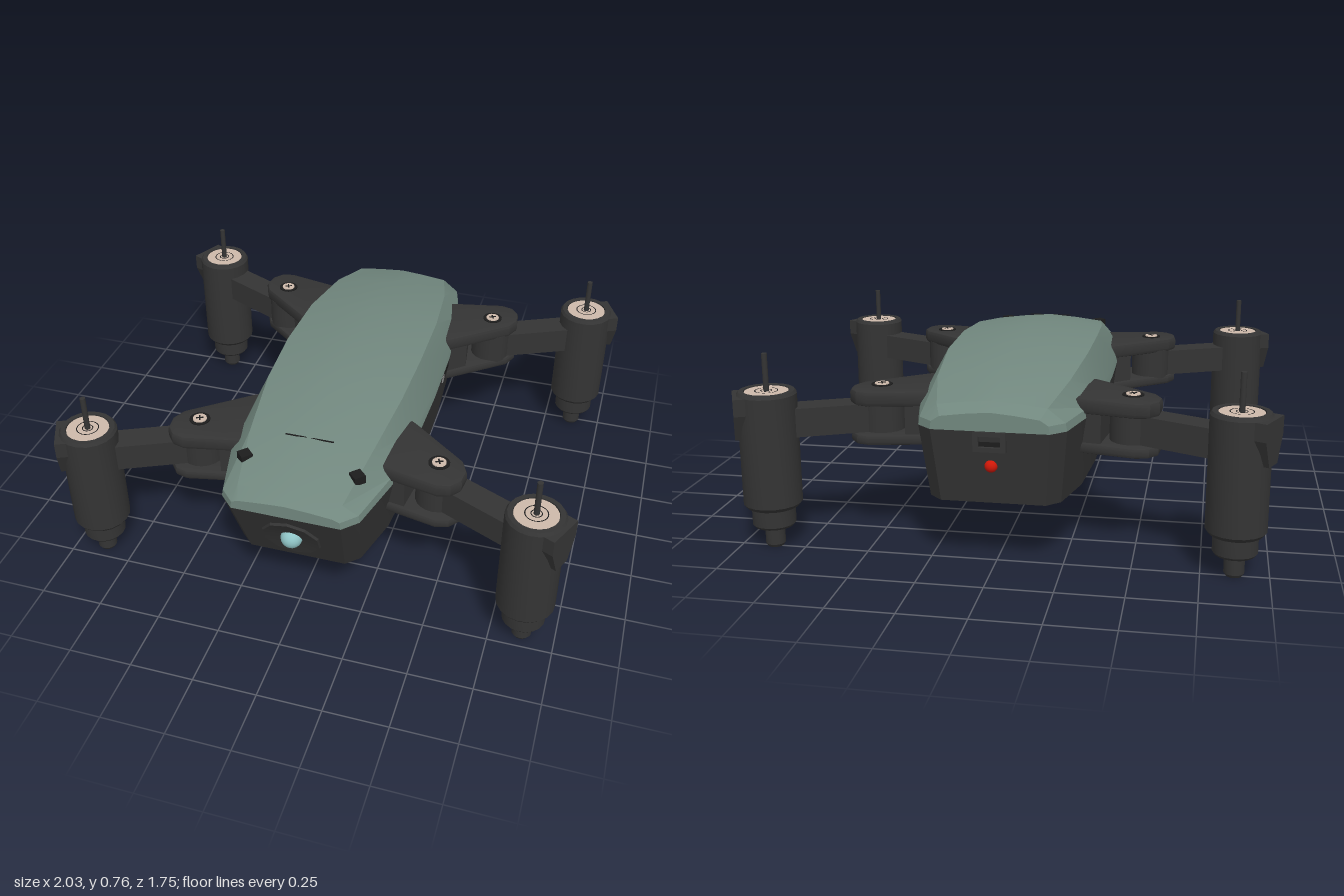
import * as THREE from 'three';
import { toCreasedNormals } from 'three/addons/utils/BufferGeometryUtils.js';

const paint = (color) => new THREE.MeshStandardMaterial({ color });
const green = paint(0x71877e), dark = paint(0x343434), black = paint(0x1c1c1c);
const tan = paint(0xcdb9aa), cyan = paint(0x8fc4c6), red = paint(0xd01808), grey = paint(0x888888);

function add(parent, name, geometry, material, x = 0, y = 0, z = 0) {
  const mesh = new THREE.Mesh(geometry, material);
  mesh.name = name;
  mesh.position.set(x, y, z);
  parent.add(mesh);
  return mesh;
}

// Skin over equal-length rings running from front to back, with end caps
function loft(rings) {
  const n = rings[0].length, index = [], last = (rings.length - 1) * n;
  for (let r = 0; r < rings.length - 1; r++) {
    for (let i = 0; i < n; i++) {
      const a = r * n + i, b = r * n + (i + 1) % n;
      index.push(a, a + n, b, b, a + n, b + n);
    }
  }
  for (let i = 1; i < n - 1; i++) index.push(0, i, i + 1, last, last + i + 1, last + i);
  const g = new THREE.BufferGeometry();
  g.setAttribute('position', new THREE.Float32BufferAttribute(rings.flat(2), 3));
  g.setIndex(index);
  return toCreasedNormals(g, 0.3);
}

// Horizontal slab: outline in x and z, between two heights
function slab(points, y0, y1, bevel = 0) {
  const shape = new THREE.Shape(points.map(([x, z]) => new THREE.Vector2(x, z)));
  const g = new THREE.ExtrudeGeometry(shape, {
    depth: y1 - y0 - 2 * bevel, bevelEnabled: bevel > 0, bevelSize: bevel,
    bevelThickness: bevel, bevelOffset: -bevel, bevelSegments: 2,
  });
  return g.rotateX(Math.PI / 2).translate(0, y1 - bevel, 0);
}

function lathe(profile, sides) {
  const g = new THREE.LatheGeometry(profile.map(([r, y]) => new THREE.Vector2(r, y)), sides);
  return toCreasedNormals(g, 0.5);
}

// Hull stations: z, half width at the seam, half width at the shoulder, shoulder height, ridge height
const SEAM = 0.535, FLOOR = 0.25;
const stations = [
  [0.875, 0.21, 0.18, 0.575, 0.59], [0.82, 0.265, 0.2, 0.6, 0.62],
  [0.58, 0.325, 0.24, 0.66, 0.685], [0.27, 0.345, 0.275, 0.7, 0.735],
  [0, 0.35, 0.285, 0.712, 0.745], [-0.3, 0.345, 0.28, 0.702, 0.735],
  [-0.6, 0.325, 0.25, 0.665, 0.69], [-0.82, 0.27, 0.2, 0.615, 0.635],
  [-0.87, 0.215, 0.18, 0.585, 0.605],
];

function buildBody() {
  const body = new THREE.Group();
  body.name = 'body';
  add(body, 'upperShell', loft(stations.map(([z, o, s, ys, yt]) => [
    [-o, SEAM, z], [o, SEAM, z], [o * 0.98, SEAM + 0.03, z], [s, ys, z],
    [s * 0.5, yt - (yt - ys) * 0.4, z], [0, yt, z], [-s * 0.5, yt - (yt - ys) * 0.4, z],
    [-s, ys, z], [-o * 0.98, SEAM + 0.03, z],
  ])), green);

  // Lower hull: seam outline tapering down to the floor
  const outline = [...stations.map(([z, o]) => [o, z]), ...stations.map(([z, o]) => [-o, z]).reverse()];
  const hull = slab(outline, FLOOR, SEAM);
  const p = hull.attributes.position;
  for (let i = 0; i < p.count; i++) {
    if (p.getY(i) < 0.4) {
      p.setX(i, p.getX(i) * 0.9);
      p.setZ(i, p.getZ(i) * (p.getZ(i) > 0 ? 0.865 : 0.935));
    }
  }
  add(body, 'lowerHull', toCreasedNormals(hull, 0.3), dark);

  // Camera on the sloping nose
  const camera = new THREE.Group();
  camera.name = 'camera';
  camera.position.set(0, 0.39, 0.814);
  camera.rotation.x = 0.4;
  body.add(camera);
  add(camera, 'cameraSurround', lathe([[0.12, -0.01], [0.112, 0.01], [0.045, 0.002], [0, 0.002]], 10)
    .rotateX(Math.PI / 2), dark).material = new THREE.MeshStandardMaterial({ color: 0x343434, side: THREE.DoubleSide });
  add(camera, 'lens', new THREE.SphereGeometry(0.042, 20, 14), cyan);

  // Shell details
  for (const s of [-1, 1]) {
    add(body, 'shellNotch', new THREE.BoxGeometry(0.045, 0.035, 0.045), black, s * 0.218, 0.63, 0.69)
      .rotation.set(0, Math.PI / 4, 0);
  }
  add(body, 'panelSeam', new THREE.BoxGeometry(0.19, 0.004, 0.004), black, 0, 0.682, 0.58);
  add(body, 'sideButton', new THREE.BoxGeometry(0.03, 0.03, 0.025), grey, 0.333, 0.512, -0.18);
  add(body, 'cardSlot', new THREE.BoxGeometry(0.02, 0.03, 0.1), black, 0.334, 0.515, -0.245);

  // Tail: charging port and lamp
  const port = new THREE.Shape([[-0.06, -0.037], [0.06, -0.037], [0.06, 0.037], [-0.06, 0.037]]
    .map(([x, y]) => new THREE.Vector2(x, y)));
  port.holes.push(new THREE.Path([[-0.04, -0.02], [-0.04, 0.02], [0.04, 0.02], [0.04, -0.02]]
    .map(([x, y]) => new THREE.Vector2(x, y))));
  add(body, 'portFrame', new THREE.ExtrudeGeometry(port, { depth: 0.035, bevelEnabled: false }), dark, 0, 0.497, -0.875);
  add(body, 'portSocket', new THREE.BoxGeometry(0.09, 0.05, 0.02), black, 0, 0.497, -0.852);
  add(body, 'tailLamp', new THREE.SphereGeometry(0.024, 16, 12), red, 0, 0.4, -0.841);
  return body;
}

// One folding arm; sx and front choose the corner
function buildArm(sx, front) {
  const arm = new THREE.Group();
  arm.name = (front ? 'front' : 'rear') + (sx > 0 ? 'Left' : 'Right') + 'Arm';
  const place = ([x, z]) => [sx * x, front ? z : -0.06 - z];
  const [hx, hz] = place([0.48, 0.5]);
  const [mx, mz] = place([0.872, 0.682]);
  const yaw = Math.atan2(-(mz - hz), mx - hx);
  const length = Math.hypot(mx - hx, mz - hz);

  // Hinge bracket: two plates around a hub, joined by an inner wall
  const plate = [[0.27, 0.58], [0.5, 0.628], [0.55, 0.615], [0.583, 0.575], [0.59, 0.515],
    [0.565, 0.46], [0.34, 0.28], [0.3, 0.255], [0.27, 0.255]].map(place);
  const wall = [[0.27, 0.57], [0.37, 0.585], [0.38, 0.5], [0.4, 0.345], [0.33, 0.285], [0.27, 0.27]].map(place);
  add(arm, 'bracketTop', toCreasedNormals(slab(plate, 0.55, 0.61, 0.015), 0.5), dark);
  add(arm, 'bracketBottom', toCreasedNormals(slab(plate, 0.4, 0.44, 0.012), 0.5), dark);
  add(arm, 'bracketWall', slab(wall, 0.42, 0.57), dark);
  add(arm, 'hingeHub', new THREE.CylinderGeometry(0.085, 0.085, 0.13, 20), dark, hx, 0.495, hz);

  // Hinge screw with a cross recess
  add(arm, 'screwSeat', new THREE.CylinderGeometry(0.041, 0.041, 0.01, 20), black, hx, 0.608, hz);
  add(arm, 'screw', new THREE.CylinderGeometry(0.027, 0.03, 0.012, 16), tan, hx, 0.611, hz);
  for (const turn of [0.4, 0.4 + Math.PI / 2]) {
    add(arm, 'screwSlot', new THREE.BoxGeometry(0.03, 0.003, 0.006), black, hx, 0.617, hz).rotation.y = turn;
  }

  add(arm, 'armBar', new THREE.BoxGeometry(length, 0.11, 0.11), dark, (hx + mx) / 2, 0.495, (hz + mz) / 2)
    .rotation.y = yaw;

  // Motor pod
  const pod = new THREE.Group();
  pod.name = 'motorPod';
  pod.position.set(mx, 0, mz);
  pod.rotation.y = yaw;
  arm.add(pod);
  add(pod, 'motorHousing', lathe([[0, 0], [0.03, 0], [0.038, 0.012], [0.038, 0.085], [0.075, 0.085],
    [0.083, 0.095], [0.083, 0.165], [0.1, 0.165], [0.112, 0.18], [0.112, 0.605], [0.104, 0.617],
    [0.085, 0.617], [0.085, 0.606], [0, 0.606]], 18), dark);
  add(pod, 'motorCap', new THREE.CylinderGeometry(0.082, 0.082, 0.012, 24), tan, 0, 0.608, 0);
  for (const r of [0.02, 0.042]) {
    add(pod, 'capGroove', new THREE.RingGeometry(r - 0.002, r + 0.002, 24).rotateX(-Math.PI / 2), black, 0, 0.6155, 0);
  }
  add(pod, 'shaft', new THREE.CylinderGeometry(0.011, 0.011, 0.16, 10), dark, 0, 0.677, 0);

  // Tapered clip on the outer end
  const clip = new THREE.Shape([[-0.075, 0.605], [-0.075, 0.54], [-0.035, 0.44], [0.035, 0.44],
    [0.075, 0.54], [0.075, 0.605]].map(([x, y]) => new THREE.Vector2(x, y)));
  add(pod, 'motorClip', new THREE.ExtrudeGeometry(clip, { depth: 0.05, bevelEnabled: false })
    .rotateY(Math.PI / 2), dark, 0.075, 0, 0);
  return arm;
}

export function createModel() {
  const model = new THREE.Group();
  model.name = 'quadcopter';
  model.add(buildBody());
  for (const sx of [-1, 1]) {
    for (const front of [true, false]) model.add(buildArm(sx, front));
  }
  return model;
}
